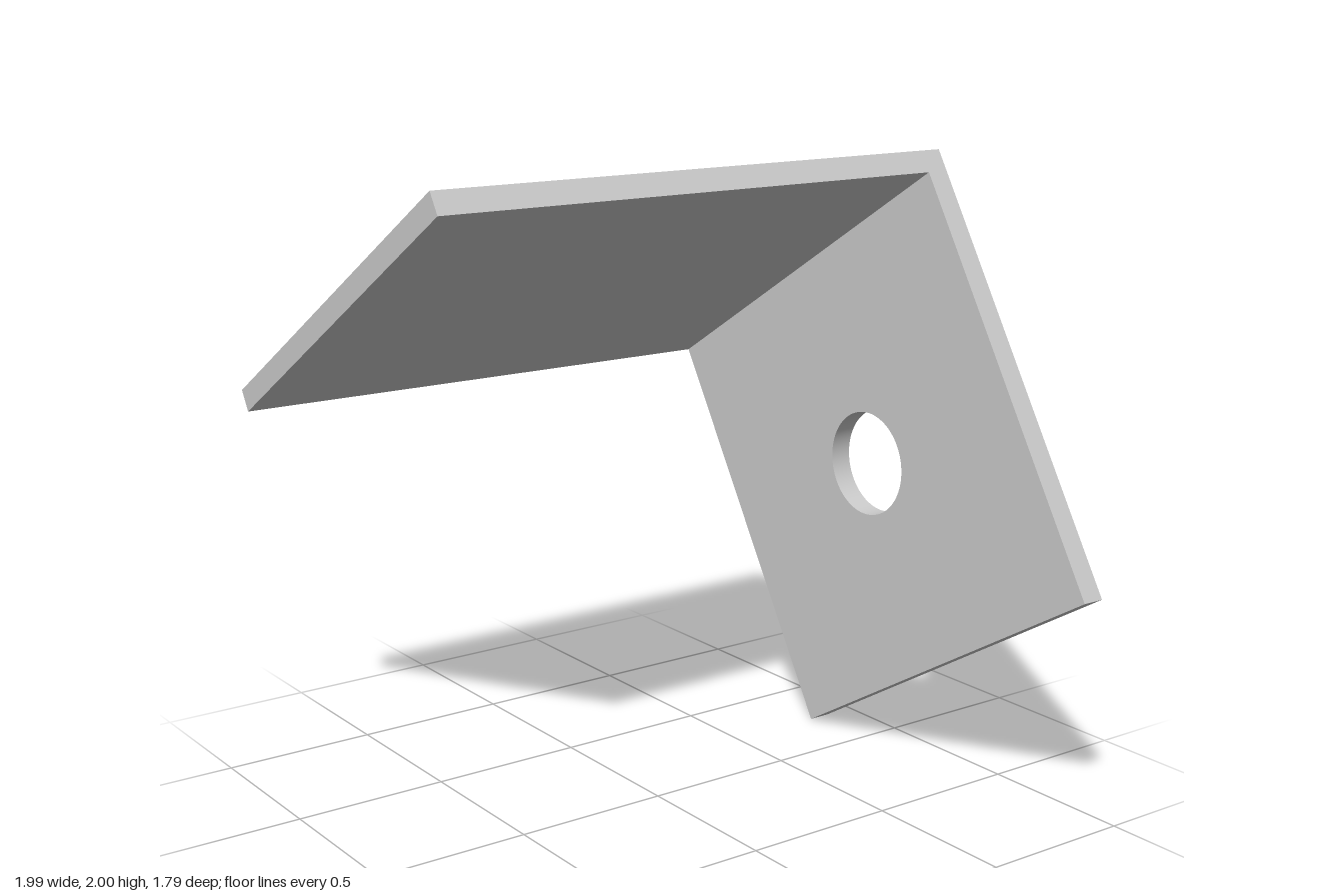
import * as THREE from 'three';
import { toCreasedNormals } from 'three/addons/utils/BufferGeometryUtils.js';

const WIDTH = 1.435, HEIGHT = 1.465, DEPTH = 1.79, THICK = 0.073;
const HOLE_RADIUS = 0.17, TILT = Math.atan2(0.745, 1.225);

export function createModel() {
  const group = new THREE.Group();
  group.name = 'angleBracket';
  const material = new THREE.MeshStandardMaterial({ color: 0xcccccc });

  // Both flanges are built upright, then the bracket is tilted about z
  const bracket = new THREE.Group();
  bracket.name = 'tiltedBracket';
  bracket.position.y = 1;
  bracket.rotation.z = TILT;
  group.add(bracket);

  // Plain flange along the upper edge, running the full depth
  const top = new THREE.Mesh(new THREE.BoxGeometry(WIDTH, THICK, DEPTH), material);
  top.name = 'topFlange';
  top.position.y = (HEIGHT - THICK) / 2;
  bracket.add(top);

  // Rear flange below it, with a round hole through its centre
  const h = HEIGHT - THICK, x = WIDTH / 2;
  const outline = new THREE.Shape([
    new THREE.Vector2(-x, -h / 2), new THREE.Vector2(x, -h / 2),
    new THREE.Vector2(x, h / 2), new THREE.Vector2(-x, h / 2),
  ]);
  outline.holes.push(new THREE.Path().absarc(0, 0, HOLE_RADIUS, 0, Math.PI * 2, true));
  const plate = new THREE.ExtrudeGeometry(outline, { depth: THICK, bevelEnabled: false, curveSegments: 48 });
  const rear = new THREE.Mesh(toCreasedNormals(plate, 0.6), material);
  rear.name = 'rearFlange';
  rear.position.set(0, -THICK / 2, -DEPTH / 2);
  bracket.add(rear);

  return group;
}
